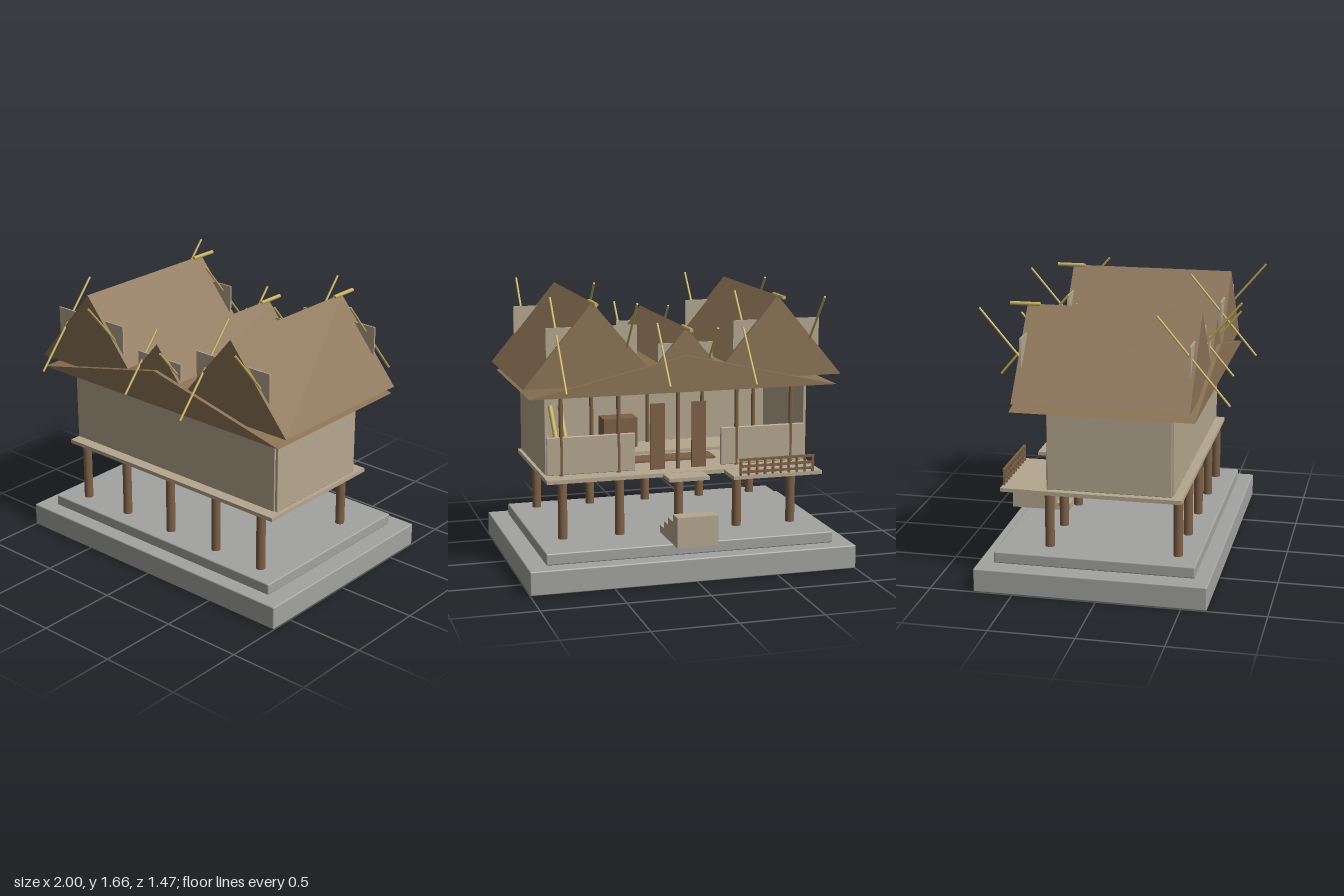
import * as THREE from 'three';
import { RoundedBoxGeometry } from 'three/addons/geometries/RoundedBoxGeometry.js';

export function createModel() {
  const group = new THREE.Group();
  const material = (name, color) => {
    const m = new THREE.MeshStandardMaterial({ color });
    m.name = name;
    return m;
  };
  const stone = material('stone', 0xa3a3a1);
  const board = material('paleBoard', 0xb5a78f);
  const thatch = material('thatch', 0x8b7355);
  const timber = material('timber', 0x7d6147);
  const bamboo = material('bamboo', 0xc6b05c);

  const add = (name, geometry, mat) => {
    const mesh = new THREE.Mesh(geometry, mat);
    mesh.name = name;
    group.add(mesh);
    return mesh;
  };
  // Box given by its extents on each axis
  const box = (name, mat, [x0, x1], [y0, y1], [z0, z1], round = 0) => {
    const s = [x1 - x0, y1 - y0, z1 - z0];
    const g = round ? new RoundedBoxGeometry(...s, 2, round) : new THREE.BoxGeometry(...s);
    const mesh = add(name, g, mat);
    mesh.position.set((x0 + x1) / 2, (y0 + y1) / 2, (z0 + z1) / 2);
    return mesh;
  };
  // Round pole between two points
  const pole = (name, mat, a, b, r, sides = 12) => {
    const p = new THREE.Vector3(...a), q = new THREE.Vector3(...b);
    const d = q.clone().sub(p);
    const mesh = add(name, new THREE.CylinderGeometry(r, r, d.length(), sides), mat);
    mesh.position.copy(p).add(q).multiplyScalar(0.5);
    mesh.quaternion.setFromUnitVectors(new THREE.Vector3(0, 1, 0), d.normalize());
    return mesh;
  };
  // Solid gable roof with its ridge along z
  const gable = (name, cx, half, y0, y1, z0, z1) => {
    const s = new THREE.Shape([
      new THREE.Vector2(cx - half, y0), new THREE.Vector2(cx + half, y0), new THREE.Vector2(cx, y1),
    ]);
    const mesh = add(name, new THREE.ExtrudeGeometry(s, { depth: z1 - z0, bevelEnabled: false }), thatch);
    mesh.position.z = z0;
  };

  // Stone plinth
  box('lowerPlinth', stone, [-1, 1], [0, 0.145], [-0.735, 0.65], 0.008);
  box('upperPlinth', stone, [-0.885, 0.885], [0.145, 0.215], [-0.64, 0.56], 0.008);

  // Stilts and slim house posts
  for (const x of [-0.72, -0.37, 0, 0.37, 0.72]) {
    for (const z of [0.433, -0.338]) pole('stilt', timber, [x, 0.215, z], [x, 0.572, z], 0.028, 20);
    for (const z of [0.37, -0.323]) pole('housePost', timber, [x, 0.59, z], [x, 1.1, z], 0.013);
  }
  for (const z of [0.37, -0.323]) box('topBeam', timber, [-0.73, 0.73], [1.075, 1.1], [z - 0.012, z + 0.012]);

  // Floor, landing and balcony
  box('floor', board, [-0.83, 0.83], [0.57, 0.594], [-0.425, 0.47]);
  box('landing', board, [-0.125, 0.125], [0.57, 0.592], [-0.565, -0.425]);
  box('balcony', board, [-0.82, -0.26], [0.57, 0.592], [-0.61, -0.425]);

  // Balcony railing
  for (const y of [0.612, 0.647, 0.687]) box('rail', timber, [-0.77, -0.3], [y - 0.007, y + 0.007], [-0.606, -0.594]);
  for (let i = 0; i <= 9; i++) {
    const x = -0.762 + i * 0.0505;
    box('baluster', timber, [x - 0.006, x + 0.006], [0.59, 0.68], [-0.606, -0.594]);
  }

  // Stepped block behind the house
  const fronts = [-0.365, -0.45, -0.54, -0.638];
  fronts.forEach((z, i) => box('step', board, [-0.125, 0.125],
    [0.215 + i * 0.0455, 0.2605 + i * 0.0455], [-0.735, z]));

  // Walls, with half walls at the open back
  box('frontWall', board, [-0.803, 0.803], [0.607, 1.085], [0.4, 0.42], 0.004);
  for (const s of [-1, 1]) {
    const span = (a, b) => (s > 0 ? [a, b] : [-b, -a]);
    box('sideWall', board, span(0.8, 0.82), [0.605, 1.085], [-0.325, 0.41], 0.004);
    box('backHalfWall', board, span(0.27, 0.81), [0.6, 0.83], [-0.333, -0.312], 0.004);
    box('doorPanel', timber, span(0.085, 0.175), [0.596, 1.0], [-0.33, -0.318]);
  }

  // Furnishings
  box('floorMat', timber, [-0.3, 0.29], [0.594, 0.607], [-0.13, 0.02]);
  box('sleepingPlatform', board, [-0.53, 0.52], [0.594, 0.612], [0.1, 0.39]);
  box('chest', timber, [0.1, 0.32], [0.612, 0.8], [0.24, 0.38]);
  for (const x of [0.6, 0.66, 0.72]) pole('leaningPole', bamboo, [x, 0.6, -0.02], [x + 0.03, 0.93, 0.12], 0.015);

  // Roofs
  gable('eavesRoof', 0, 0.942, 1.097, 1.313, -0.513, 0.56);
  const roofs = [
    { cx: -0.565, half: 0.41, top: 1.645, plate: [1.33, 1.503], w: 0.27, reach: 0.25 },
    { cx: 0, half: 0.27, top: 1.475, plate: [1.27, 1.385], w: 0.168, reach: 0.166 },
    { cx: 0.565, half: 0.41, top: 1.645, plate: [1.33, 1.503], w: 0.27, reach: 0.25 },
  ];
  for (const { cx, half, top, plate, w, reach } of roofs) {
    gable('gableRoof', cx, half, 1.155, top, -0.49, 0.535);
    pole('ridgeRoll', bamboo, [cx, top - 0.001, -0.595], [cx, top - 0.001, -0.415], 0.012);
    // Boards and crossed poles at both gable ends
    const y = 1.157 + reach, dz = reach * 0.84, off = half > 0.3 ? 0.206 : 0.143;
    for (const e of [-1, 1]) {
      const zp = e > 0 ? 0.51 : -0.467;
      box('gableBoard', board, [cx - w, cx + w], plate, [zp - 0.005, zp + 0.005]);
      const zc = e > 0 ? 0.52 : -0.51;
      for (const s of [-1, 1]) {
        pole('crossedPole', bamboo, [cx + s * off, y + reach, zc + s * dz],
          [cx + s * off, y - reach, zc - s * dz], 0.007, 8);
      }
    }
  }
  return group;
}
